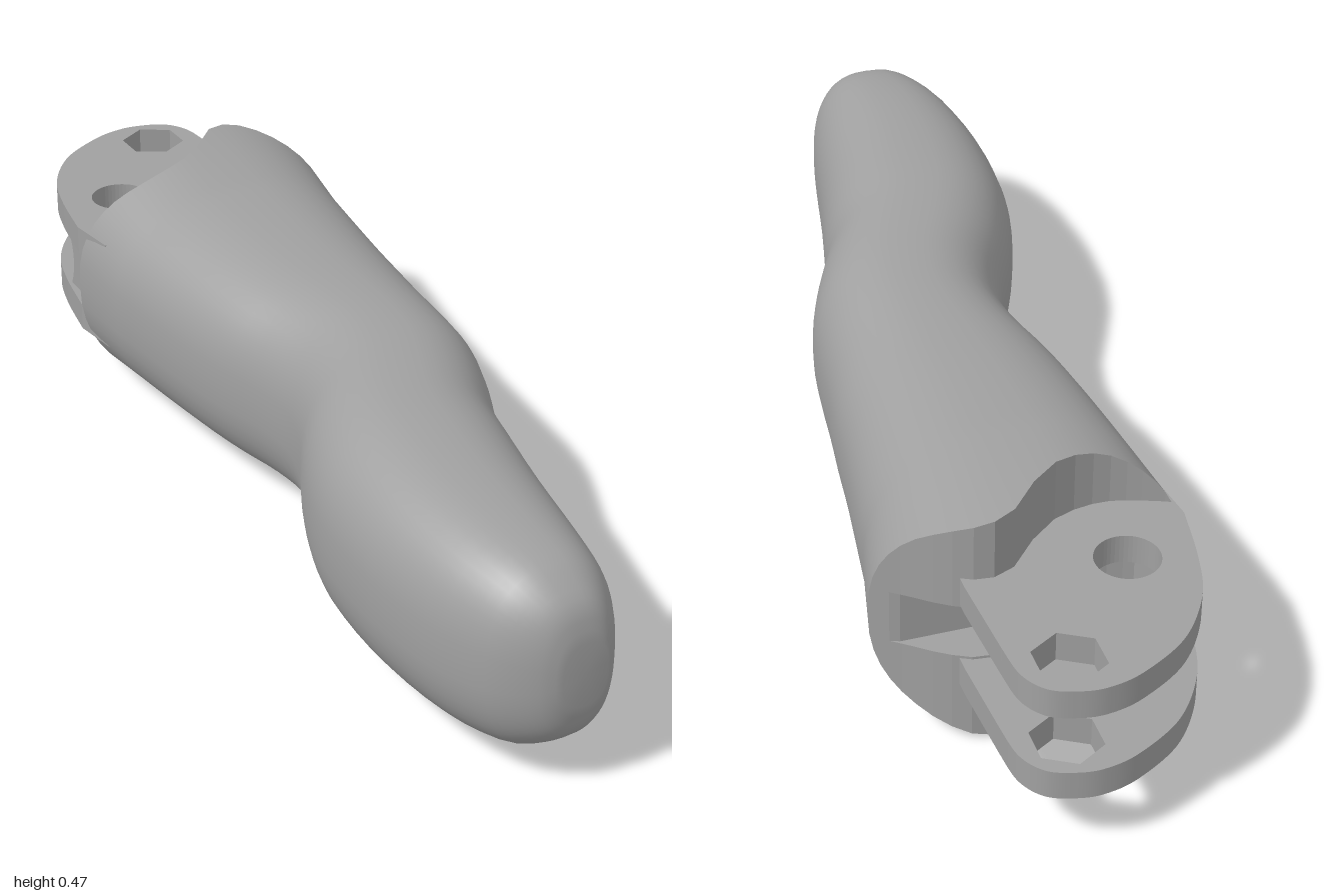
import * as THREE from 'three';
import { mergeVertices } from 'three/addons/utils/BufferGeometryUtils.js';

const MID = 0.236;
const SIDES = 48;

// Sections from tip to knuckle: z, left x, right x, half height
const sections = [
  [1.0, -0.16, -0.075, 0.06], [0.985, -0.195, -0.055, 0.115], [0.95, -0.235, -0.03, 0.15],
  [0.9, -0.265, -0.008, 0.175], [0.8, -0.295, 0.015, 0.19], [0.65, -0.309, 0.045, 0.2],
  [0.5, -0.301, 0.08, 0.208], [0.4, -0.28, 0.105, 0.21], [0.3, -0.242, 0.15, 0.209],
  [0.2, -0.193, 0.186, 0.207], [0.1, -0.167, 0.202, 0.204], [0.0, -0.176, 0.214, 0.203],
  [-0.1, -0.2, 0.228, 0.205], [-0.2, -0.216, 0.24, 0.21], [-0.32, -0.229, 0.257, 0.216],
  [-0.45, -0.24, 0.276, 0.223],
];
const END = { left: -0.249, right: 0.306, half: 0.235 };

// Wavy line of the cut end, seen from above
const endCurve = new THREE.SplineCurve([
  [-0.25, -0.598], [-0.2, -0.575], [-0.12, -0.552], [-0.04, -0.565], [0.02, -0.605],
  [0.07, -0.665], [0.13, -0.69], [0.19, -0.667], [0.25, -0.622], [0.31, -0.578],
].map(([x, z]) => new THREE.Vector2(x, z))).getPoints(90);

function endZ(x) {
  let i = 1;
  while (i < endCurve.length - 1 && endCurve[i].x < x) i++;
  const a = endCurve[i - 1], b = endCurve[i];
  return a.y + (b.y - a.y) * THREE.MathUtils.clamp((x - a.x) / (b.x - a.x), 0, 1);
}

// Point on a rounded-box section
function sectionPoint(left, right, half, angle) {
  const c = Math.cos(angle), s = Math.sin(angle), p = 2 / 2.45;
  return [
    (left + right) / 2 + (right - left) / 2 * Math.sign(c) * Math.abs(c) ** p,
    MID + half * Math.sign(s) * Math.abs(s) ** p,
  ];
}

function makeGeometry(positions, index) {
  const g = new THREE.BufferGeometry();
  g.setAttribute('position', new THREE.Float32BufferAttribute(positions, 3));
  g.setIndex(index);
  return g;
}

// Smooth skin lofted through the sections
function skinGeometry() {
  const shapeCurve = new THREE.CatmullRomCurve3(
    sections.map(([, l, r, h]) => new THREE.Vector3(l, r, h)), false, 'catmullrom', 0.5);
  const zCurve = new THREE.CatmullRomCurve3(
    sections.map(([z]) => new THREE.Vector3(0, 0, z)), false, 'catmullrom', 0.5);
  const steps = (sections.length - 1) * 3;
  const pos = [], index = [];
  const addRing = (l, r, h, zAt) => {
    for (let j = 0; j < SIDES; j++) {
      const [x, y] = sectionPoint(l, r, h, j / SIDES * Math.PI * 2);
      pos.push(x, y, zAt(x));
    }
  };
  for (let i = 0; i <= steps; i++) {
    const s = shapeCurve.getPoint(i / steps), z = zCurve.getPoint(i / steps).z;
    addRing(s.x, s.y, s.z, () => z);
  }
  addRing(END.left, END.right, END.half, endZ);
  for (let i = 0; i <= steps; i++) {
    for (let j = 0; j < SIDES; j++) {
      const a = i * SIDES + j, b = i * SIDES + (j + 1) % SIDES;
      index.push(a, a + SIDES, b, b, a + SIDES, b + SIDES);
    }
  }
  // Rounded tip centre
  const tip = pos.length / 3;
  pos.push(-0.118, MID, 1.0);
  for (let j = 0; j < SIDES; j++) index.push(tip, j, (j + 1) % SIDES);
  const g = makeGeometry(pos, index);
  g.computeVertexNormals();
  return g;
}

// Cut end wall with a slot between the hinge plates
function endWallGeometry() {
  const pos = [], index = [], half = SIDES / 2, rows = 6;
  for (let j = 0; j <= half; j++) {
    const [x, top] = sectionPoint(END.left, END.right, END.half, j / half * Math.PI);
    const bottom = 2 * MID - top;
    const z = endZ(x), deep = Math.max(z, -0.61);
    const low = Math.max(bottom, 0.185), high = Math.min(top, 0.29);
    [[bottom, z], [low, z], [low, deep], [high, deep], [high, z], [top, z]]
      .forEach(([y, zz]) => pos.push(x, y, zz));
  }
  for (let j = 0; j < half; j++) {
    for (let k = 0; k < rows - 1; k++) {
      const a = j * rows + k, b = a + rows;
      index.push(a, b, a + 1, a + 1, b, b + 1);
    }
  }
  const g = makeGeometry(pos, index).toNonIndexed();
  g.computeVertexNormals();
  return g;
}

// Hinge plate outline with a round hole and a hexagonal hole
function plateGeometry() {
  const shape = new THREE.Shape();
  shape.moveTo(0.175, -0.58);
  shape.lineTo(0.175, -0.7);
  shape.lineTo(0.166, -0.86);
  shape.splineThru([[0.158, -0.93], [0.13, -0.975], [0.085, -0.995], [0.035, -1.0], [-0.03, -0.982],
    [-0.12, -0.925], [-0.185, -0.835], [-0.216, -0.74], [-0.238, -0.62]]
    .map(([x, z]) => new THREE.Vector2(x, z)));
  shape.lineTo(-0.225, -0.52);
  shape.lineTo(0.0, -0.52);
  shape.closePath();
  const round = new THREE.Path().absarc(-0.105, -0.705, 0.057, 0, Math.PI * 2);
  const hex = new THREE.Path();
  for (let i = 0; i < 6; i++) {
    const a = i * Math.PI / 3 + Math.PI / 6;
    const x = 0.071 + 0.063 * Math.cos(a), z = -0.915 + 0.063 * Math.sin(a);
    if (i) hex.lineTo(x, z); else hex.moveTo(x, z);
  }
  hex.closePath();
  shape.holes.push(round, hex);
  const g = new THREE.ExtrudeGeometry(shape, { depth: 0.055, bevelEnabled: false, curveSegments: 24 });
  return g.rotateX(Math.PI / 2);
}

// Web joining the plates, with a hollowed rear edge
function webGeometry() {
  const shape = new THREE.Shape();
  shape.moveTo(0.52, 0.17);
  shape.lineTo(0.72, 0.17);
  shape.quadraticCurveTo(0.68, MID, 0.72, 0.3);
  shape.lineTo(0.52, 0.3);
  shape.closePath();
  const g = new THREE.ExtrudeGeometry(shape, { depth: 0.04, bevelEnabled: false });
  return g.rotateY(Math.PI / 2).translate(-0.215, 0, 0);
}

export function createModel() {
  const model = new THREE.Group();
  const grey = new THREE.MeshStandardMaterial({ color: 0xa0a0a0 });
  grey.name = 'plain grey';
  const wallGrey = grey.clone();
  wallGrey.side = THREE.DoubleSide;
  const add = (name, geometry, material = grey) => {
    const mesh = new THREE.Mesh(geometry, material);
    mesh.name = name;
    model.add(mesh);
    return mesh;
  };

  add('fingerSkin', mergeVertices(skinGeometry()));
  add('endWall', endWallGeometry(), wallGrey);
  const plate = plateGeometry();
  add('upperHingePlate', plate).position.y = 0.35;
  add('lowerHingePlate', plate).position.y = 0.18;
  add('hingeWeb', webGeometry());
  return model;
}
